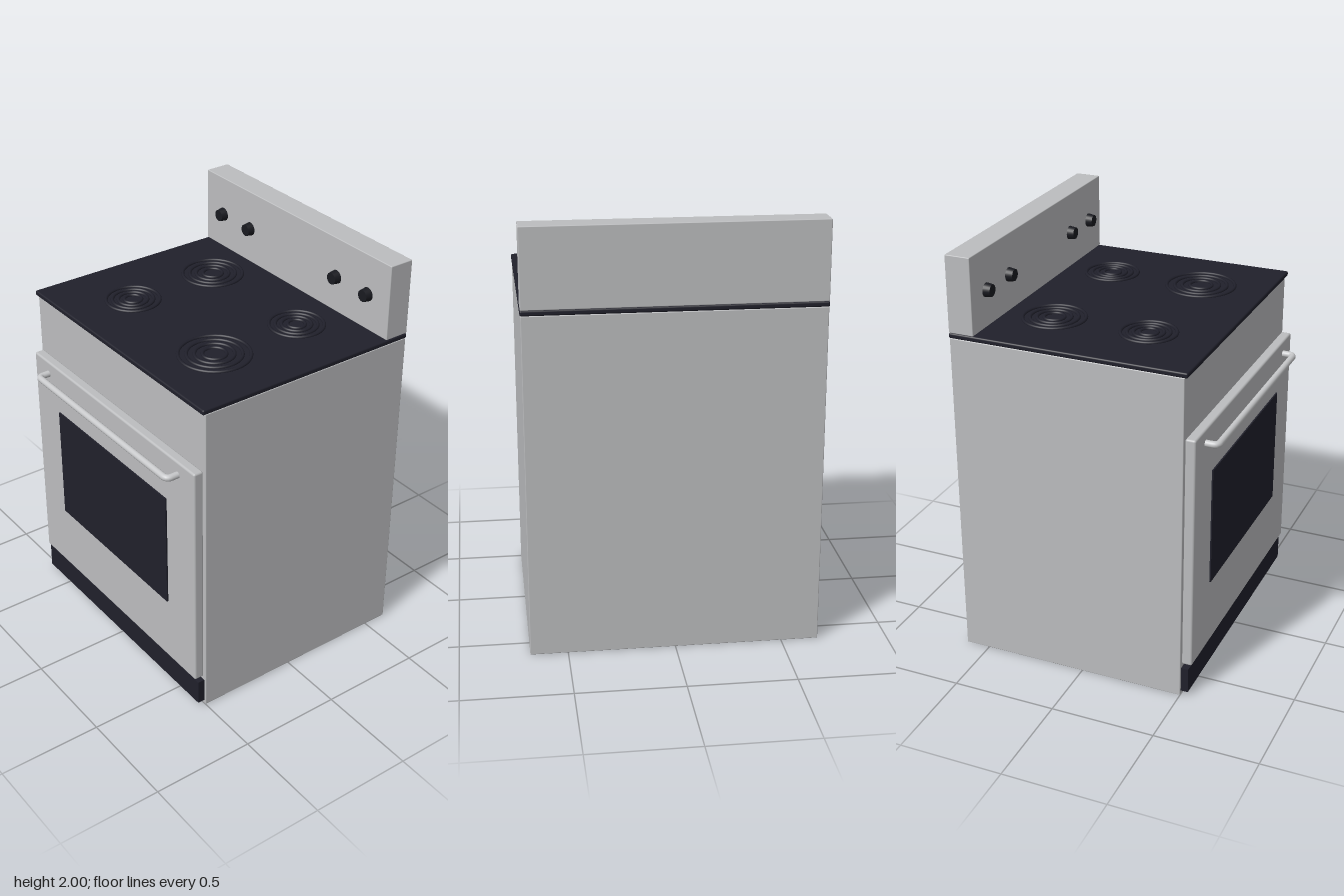
import * as THREE from 'three';
import { RoundedBoxGeometry } from 'three/addons/geometries/RoundedBoxGeometry.js';

const material = (name, color) => {
  const m = new THREE.MeshStandardMaterial({ color });
  m.name = name;
  return m;
};

export function createModel() {
  const steel = material('steel', 0xbcbdbf);
  const handleSteel = material('handle steel', 0xc8c9cb);
  const glass = material('dark glass', 0x20202b);
  const black = material('black', 0x191a20);

  const model = new THREE.Group();
  model.name = 'stove';

  const add = (name, geometry, mat, x = 0, y = 0, z = 0, parent = model) => {
    const mesh = new THREE.Mesh(geometry, mat);
    mesh.name = name;
    mesh.position.set(x, y, z);
    parent.add(mesh);
    return mesh;
  };
  // Box given by its half width and its y and z limits, with optional rounded edges
  const slab = (name, mat, halfW, y0, y1, z0, z1, r = 0) => {
    const size = [halfW * 2, y1 - y0, z1 - z0];
    const g = r ? new RoundedBoxGeometry(...size, 3, r) : new THREE.BoxGeometry(...size);
    return add(name, g, mat, 0, (y0 + y1) / 2, (z0 + z1) / 2);
  };

  // Cabinet, cooktop and control panel
  slab('body', steel, 0.675, 0, 1.61, -0.62, 0.5, 0.004);
  slab('cooktop', glass, 0.678, 1.61, 1.635, -0.623, 0.515, 0.008);
  slab('controlPanel', steel, 0.676, 1.635, 2, -0.622, -0.5, 0.004);

  // Oven door with window, and the kick plate
  slab('ovenDoor', steel, 0.66, 0.165, 1.32, 0.5, 0.55, 0.01);
  slab('ovenWindow', glass, 0.45, 0.5, 1.08, 0.549, 0.557);
  slab('kickPlate', glass, 0.664, 0.02, 0.145, 0.5, 0.535);

  // Door handle: one bent bar with rounded corners
  const v = (x, z) => new THREE.Vector3(x, 1.255, z);
  const path = new THREE.CurvePath();
  path.add(new THREE.LineCurve3(v(-0.537, 0.545), v(-0.537, 0.58)));
  path.add(new THREE.QuadraticBezierCurve3(v(-0.537, 0.58), v(-0.537, 0.606), v(-0.51, 0.606)));
  path.add(new THREE.LineCurve3(v(-0.51, 0.606), v(0.51, 0.606)));
  path.add(new THREE.QuadraticBezierCurve3(v(0.51, 0.606), v(0.537, 0.606), v(0.537, 0.58)));
  path.add(new THREE.LineCurve3(v(0.537, 0.58), v(0.537, 0.545)));
  add('doorHandle', new THREE.TubeGeometry(path, 160, 0.016, 14), handleSteel);

  // Control knobs, slightly tapered toward the front
  const knobGeometry = new THREE.CylinderGeometry(0.028, 0.033, 0.034, 24).rotateX(Math.PI / 2);
  for (const x of [-0.54, -0.325, 0.32, 0.535]) add('knob', knobGeometry, black, x, 1.81, -0.484);

  // Burners: concentric coils lying on the cooktop
  const burners = [
    [-0.325, -0.272, 0.153],
    [0.32, -0.272, 0.135],
    [-0.325, 0.192, 0.135],
    [0.32, 0.192, 0.171],
  ];
  for (const [x, z, radius] of burners) {
    const burner = new THREE.Group();
    burner.name = 'burner';
    burner.position.set(x, 1.637, z);
    model.add(burner);
    for (const f of [1, 0.78, 0.57, 0.36]) {
      const coil = new THREE.TorusGeometry(radius * f - 0.008, 0.008, 8, 48).rotateX(Math.PI / 2);
      add('burnerCoil', coil, glass, 0, 0, 0, burner);
    }
  }
  return model;
}
